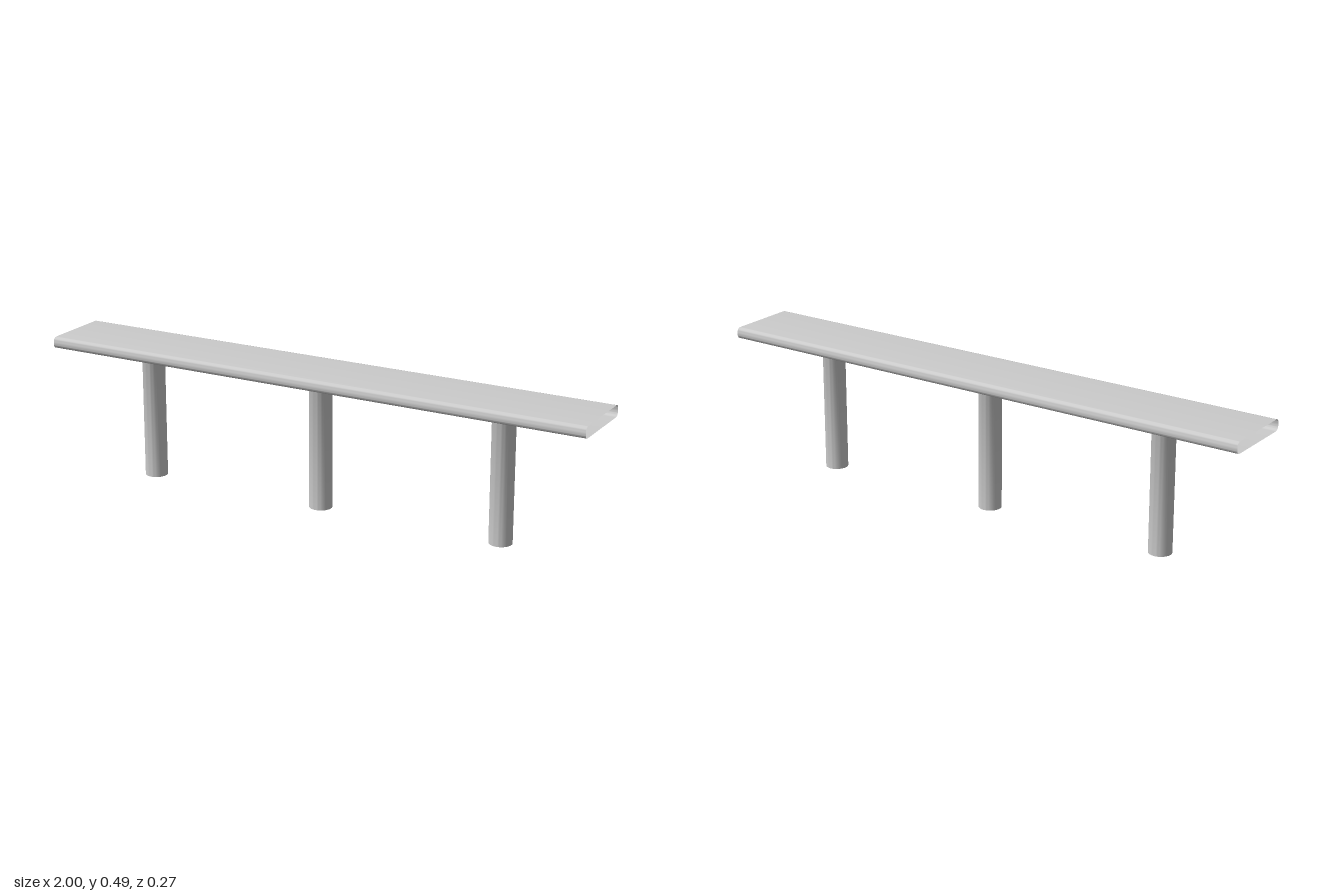
import * as THREE from 'three';
import { toCreasedNormals } from 'three/addons/utils/BufferGeometryUtils.js';

const material = new THREE.MeshStandardMaterial({ color: 0xcccccc, side: THREE.DoubleSide });

// Hollow, open-ended plank: a rounded rectangle in the z-y plane swept along x
function seatGeometry(length, depth, y0, y1, r) {
  const cy = (y0 + y1) / 2, hz = depth / 2 - r, hy = (y1 - y0) / 2 - r;
  const corners = [[hz, hy], [-hz, hy], [-hz, -hy], [hz, -hy]];
  const steps = 8, ring = [];
  corners.forEach(([z, y], c) => {
    for (let i = 0; i <= steps; i++) {
      const a = (c + i / steps) * Math.PI / 2;
      ring.push([z + r * Math.cos(a), cy + y + r * Math.sin(a)]);
    }
  });
  const positions = [], index = [], n = ring.length;
  for (const x of [-length / 2, length / 2]) ring.forEach(([z, y]) => positions.push(x, y, z));
  for (let i = 0; i < n; i++) {
    const j = (i + 1) % n;
    index.push(i, i + n, j, j, i + n, j + n);
  }
  const g = new THREE.BufferGeometry();
  g.setAttribute('position', new THREE.Float32BufferAttribute(positions, 3));
  g.setIndex(index);
  // outward winding: flip if the first face points inward
  const flipped = [];
  for (let i = 0; i < index.length; i += 3) flipped.push(index[i], index[i + 2], index[i + 1]);
  g.setIndex(flipped);
  return toCreasedNormals(g, Math.PI / 5);
}

// Open tube post with a flared collar under the seat
function legGeometry() {
  const profile = [
    [0.0395, 0], [0.0395, 0.427], [0.041, 0.43], [0.044, 0.4325],
    [0.05, 0.435], [0.053, 0.438], [0.053, 0.448],
  ].map(([x, y]) => new THREE.Vector2(x, y));
  return toCreasedNormals(new THREE.LatheGeometry(profile, 40), Math.PI / 5);
}

export function createModel() {
  const bench = new THREE.Group();
  bench.name = 'bench';

  const seat = new THREE.Mesh(seatGeometry(2, 0.266, 0.449, 0.489, 0.016), material);
  seat.name = 'seat';
  bench.add(seat);

  const leg = legGeometry();
  [['rightLeg', -0.67], ['middleLeg', 0], ['leftLeg', 0.67]].forEach(([name, x]) => {
    const mesh = new THREE.Mesh(leg, material);
    mesh.name = name;
    mesh.position.x = x;
    bench.add(mesh);
  });
  return bench;
}
